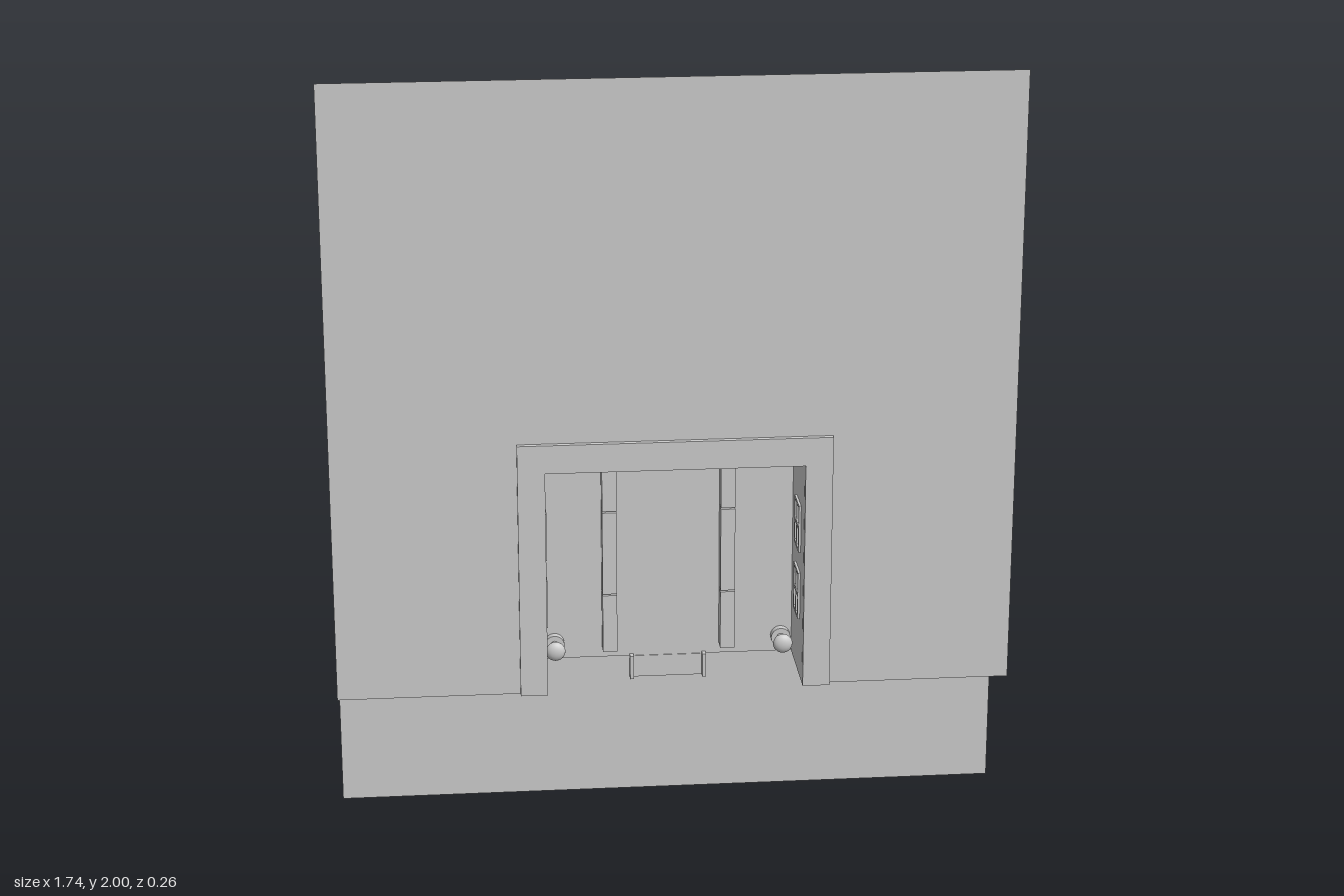
import * as THREE from 'three';

export function createModel() {
  const root = new THREE.Group();
  const grey = new THREE.MeshStandardMaterial({ color: 0xcccccc, side: THREE.DoubleSide });
  grey.name = 'light grey';

  const add = (name, geometry, parent = root) => {
    const mesh = new THREE.Mesh(geometry, grey);
    mesh.name = name;
    parent.add(mesh);
    return mesh;
  };
  // Box given by its lower and upper limits
  const box = (name, x0, x1, y0, y1, z0, z1, parent) =>
    add(name, new THREE.BoxGeometry(x1 - x0, y1 - y0, z1 - z0)
      .translate((x0 + x1) / 2, (y0 + y1) / 2, (z0 + z1) / 2), parent);
  const plane = (name, w, h, x, y, z, turnY = 0) =>
    add(name, new THREE.PlaneGeometry(w, h).rotateY(turnY).translate(x, y, z));
  // Portal outline: a rectangle with a notch open at the bottom
  const portal = (W, H, w, h) => new THREE.Shape([
    [-W, 0], [-W, H], [W, H], [W, 0], [w, 0], [w, h], [-w, h], [-w, 0],
  ].map(p => new THREE.Vector2(...p)));

  const Y = 0.39, W = 0.87, w = 0.33, back = -0.11;

  // Front wall, ledge with the cabin cut out, and lower wall set back
  add('frontWall', new THREE.ShapeGeometry(portal(W, 2 - Y, w, 0.605)).translate(0, Y, 0.113));
  add('ledge', new THREE.ShapeGeometry(portal(W, 0.233, w, 0.223))
    .rotateX(-Math.PI / 2).translate(0, Y, 0.113));
  plane('lowerWall', 2 * W, Y, 0, Y / 2, -0.12);

  // Raised frame around the opening
  add('doorFrame', new THREE.ExtrudeGeometry(portal(0.4, 0.68, w, 0.605),
    { depth: 0.014, bevelEnabled: false }).translate(0, Y, 0.116));

  // Cabin shell, open to the front and below
  plane('cabinBack', 2 * w, 0.61, 0, Y + 0.305, back);
  add('cabinCeiling', new THREE.PlaneGeometry(2 * w, 0.223)
    .rotateX(-Math.PI / 2).translate(0, 1, 0.0015));
  box('ceilingLip', -0.1, 0.09, 0.988, 0.999, back, -0.09);

  // Sill plate hanging under the back wall
  box('sill', -0.1, 0.1, 0.33, Y, back - 0.004, back + 0.002);

  for (const s of [-1, 1]) {
    plane('cabinSide', 0.223, 0.61, s * w, Y + 0.305, 0.0015, s * Math.PI / 2);
    box('sillEdge', s * 0.096 - 0.005, s * 0.096 + 0.005, 0.33, Y + 0.005, back, -0.09);

    // Four-pane windows, with bars on both faces of the side wall
    for (const y of [0.61, 0.795]) {
      const win = new THREE.Group();
      win.name = 'window';
      win.position.set(s * w, y, 0.01);
      root.add(win);
      for (const k of [-1, 0, 1]) {
        box('windowUpright', -0.006, 0.006, -0.064, 0.064, k * 0.04 - 0.004, k * 0.04 + 0.004, win);
        box('windowCrossbar', -0.006, 0.006, k * 0.06 - 0.004, k * 0.06 + 0.004, -0.044, 0.044, win);
      }
    }

    // Guide rails in three lengths
    const x = s * 0.155;
    for (const [y0, y1] of [[0.42, 0.579], [0.583, 0.81], [0.814, 0.98]])
      box('guideRail', x - 0.019, x + 0.019, y0, y1, back, -0.07);

    // Corner bolts on the back wall
    for (const y of [0.435, 0.968]) {
      const bolt = new THREE.Group();
      bolt.name = 'cornerBolt';
      bolt.position.set(s * 0.3, y, back);
      root.add(bolt);
      const disc = (name, r, h, z) => add(name,
        new THREE.CylinderGeometry(r, r, h, 16).rotateX(Math.PI / 2).translate(0, 0, z), bolt);
      disc('boltBase', 0.026, 0.02, 0.01);
      disc('boltStem', 0.012, 0.05, 0.035);
      add('boltHead', new THREE.SphereGeometry(0.026, 16, 10).scale(1, 1, 0.6).translate(0, 0, 0.06), bolt);
    }

    // Supports between cabin and upper housing
    const c = s * 0.19;
    box('support', c - 0.1, c + 0.1, 1.015, 1.07, back, 0.085);
    box('supportFoot', c - 0.08, c + 0.08, 1, 1.015, -0.1, 0.04);
  }

  // Upper housing: a four-sided drum with smooth shading around its sides
  add('upperHousing', new THREE.CylinderGeometry(Math.SQRT1_2, Math.SQRT1_2, 1, 4)
    .rotateY(Math.PI / 4).rotateX(Math.PI / 2)
    .scale(0.73, 0.6, 0.235).translate(0, 1.37, -0.0155));

  return root;
}
